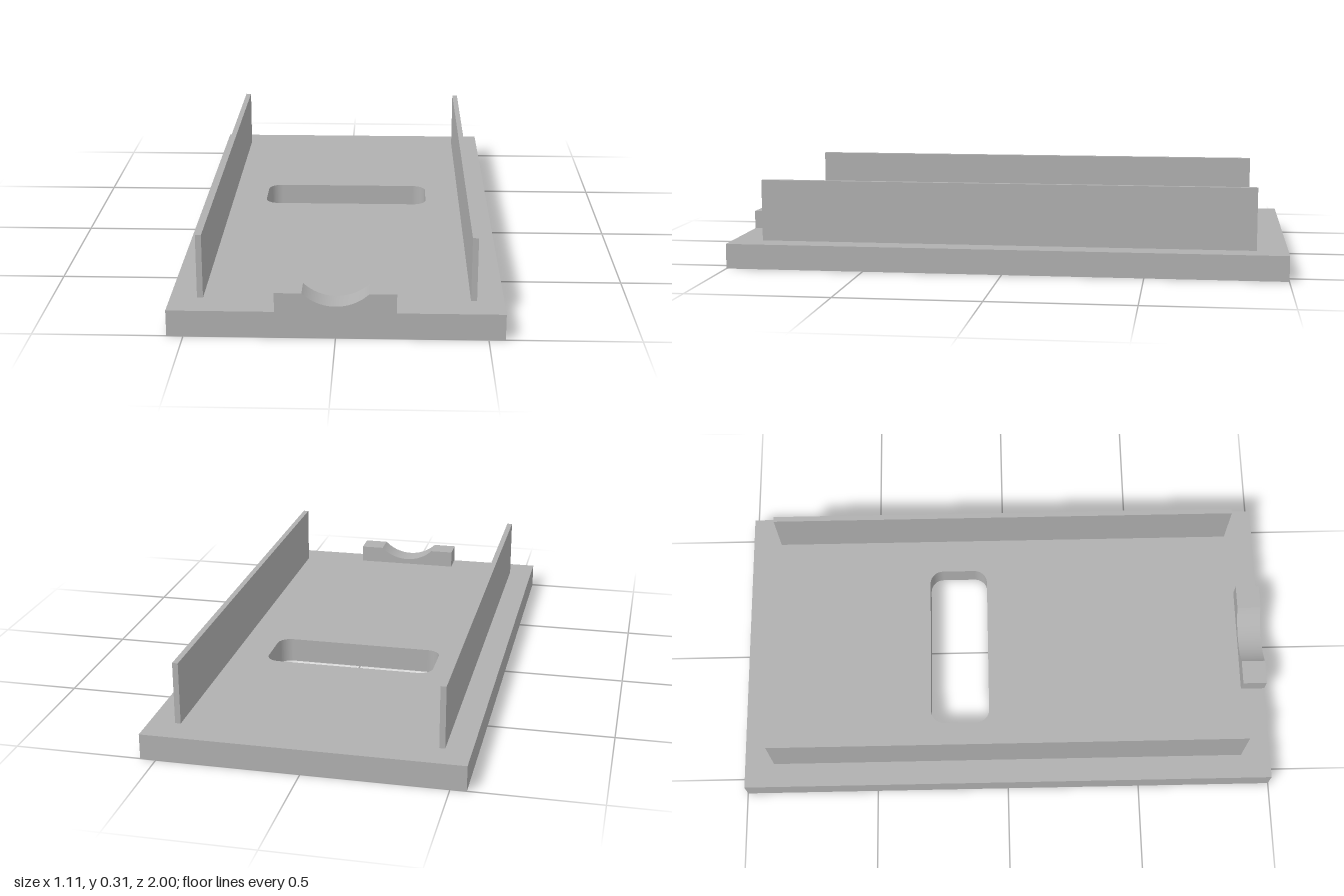
import * as THREE from 'three';

const PLATE_TOP = 0.09;

// Rounded rectangle path centred on (cx, cy)
function roundedRect(path, cx, cy, hw, hh, r) {
  path.absarc(cx + hw - r, cy + hh - r, r, 0, Math.PI / 2);
  path.absarc(cx - hw + r, cy + hh - r, r, Math.PI / 2, Math.PI);
  path.absarc(cx - hw + r, cy - hh + r, r, Math.PI, Math.PI * 1.5);
  path.absarc(cx + hw - r, cy - hh + r, r, Math.PI * 1.5, Math.PI * 2);
  path.closePath();
  return path;
}

export function createModel() {
  const model = new THREE.Group();
  model.name = 'slottedTray';
  const grey = new THREE.MeshStandardMaterial({ color: 0xb0b0b0 });
  grey.name = 'grey';

  const add = (name, geometry, x = 0, y = 0, z = 0) => {
    const mesh = new THREE.Mesh(geometry, grey);
    mesh.name = name;
    mesh.position.set(x, y, z);
    model.add(mesh);
  };

  // Base plate with a rounded slot through it
  const plate = new THREE.Shape([
    new THREE.Vector2(-0.555, -1), new THREE.Vector2(0.555, -1),
    new THREE.Vector2(0.555, 1), new THREE.Vector2(-0.555, 1),
  ]);
  plate.holes.push(roundedRect(new THREE.Path(), 0, 0.18, 0.315, 0.112, 0.05));
  const plateGeometry = new THREE.ExtrudeGeometry(plate, {
    depth: PLATE_TOP, bevelEnabled: false, curveSegments: 12,
  });
  plateGeometry.rotateX(-Math.PI / 2);
  add('basePlate', plateGeometry);

  // Thin upright rails along both sides
  const railHeight = 0.222;
  for (const [name, side] of [['leftRail', 1], ['rightRail', -1]]) {
    add(name, new THREE.BoxGeometry(0.02, railHeight, 1.78),
      side * 0.455, PLATE_TOP + railHeight / 2, 0);
  }

  // Front cradle block with a shallow circular notch
  const top = 0.156, half = 0.11, radius = 0.157;
  const angle = Math.acos(half / radius);
  const centreY = top + radius * Math.sin(angle);
  const cradle = new THREE.Shape();
  cradle.moveTo(-0.2, PLATE_TOP);
  cradle.lineTo(0.2, PLATE_TOP);
  cradle.lineTo(0.2, top);
  cradle.lineTo(half, top);
  cradle.absarc(0, centreY, radius, -angle, -Math.PI + angle, true);
  cradle.lineTo(-0.2, top);
  cradle.closePath();
  add('frontCradle', new THREE.ExtrudeGeometry(cradle, {
    depth: 0.09, bevelEnabled: false, curveSegments: 24,
  }), 0, 0, 0.91);

  return model;
}
